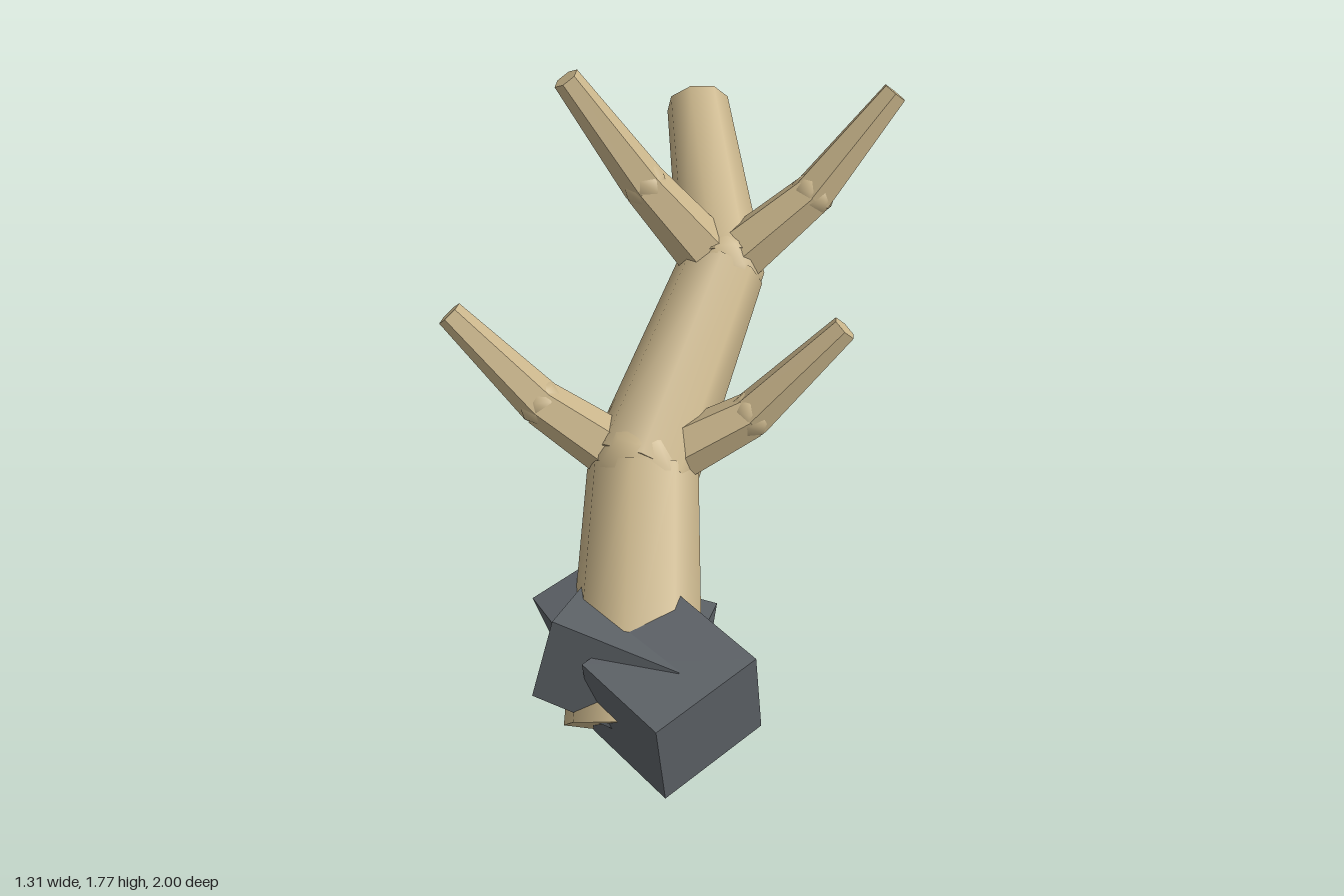
import * as THREE from 'three';

const V = (a) => new THREE.Vector3(...a);

export function createModel() {
  const group = new THREE.Group();
  const wood = new THREE.MeshStandardMaterial({ color: 0xc8b48a });
  wood.name = 'paleWood';
  const stone = new THREE.MeshStandardMaterial({ color: 0x5c6166 });
  stone.name = 'greyStone';

  const add = (name, geometry, material) => {
    const mesh = new THREE.Mesh(geometry, material);
    mesh.name = name;
    group.add(mesh);
    return mesh;
  };

  // Tapered limb between two points
  const limb = (name, from, to, r0, r1, sides, flat) => {
    const a = V(from), b = V(to), dir = b.clone().sub(a);
    let geo = new THREE.CylinderGeometry(r1, r0, dir.length(), sides);
    if (flat) {
      geo = geo.toNonIndexed();
      geo.computeVertexNormals();
    }
    const mesh = add(name, geo, wood);
    mesh.position.copy(a).add(b).multiplyScalar(0.5);
    mesh.quaternion.setFromUnitVectors(new THREE.Vector3(0, 1, 0), dir.normalize());
  };

  const knot = (name, at, r) => {
    add(name, new THREE.SphereGeometry(r, 8, 6), wood).position.copy(V(at));
  };

  // Leaning, crooked trunk
  const path = [[0.05, 0.152, 0.715], [-0.03, 0.68, 0.145], [0.12, 1.1, -0.41], [-0.05, 1.435, -0.94]];
  const radii = [0.21, 0.175, 0.14, 0.105];
  for (let i = 0; i < 3; i++) {
    limb('trunk' + (i + 1), path[i], path[i + 1], radii[i], radii[i + 1], 8, false);
    if (i > 0) knot('trunkJoint' + i, path[i], radii[i]);
  }

  // Bent branches: start, knee, tip
  const branches = {
    lowerRightBranch: [path[1], [-0.35, 0.87, 0.12], [-0.63, 1.145, 0.1]],
    lowerLeftBranch: [path[1], [0.29, 0.865, 0.06], [0.55, 1.15, -0.025]],
    upperRightBranch: [path[2], [-0.12, 1.4, -0.365], [-0.35, 1.75, -0.32]],
    upperLeftBranch: [path[2], [0.39, 1.34, -0.51], [0.62, 1.655, -0.625]],
  };
  for (const [name, [start, knee, tip]] of Object.entries(branches)) {
    limb(name + 'Base', start, knee, 0.1, 0.072, 6, true);
    limb(name + 'Tip', knee, tip, 0.072, 0.043, 6, true);
    knot(name + 'Knee', knee, 0.072);
  }

  // Tilted stone block: a top corner and three edge vectors
  const block = (name, corner, a, b, down) => {
    const [u, v, w] = [a, b, down].map(V);
    // keep a right-handed frame so the faces point outwards
    const [p, q] = u.clone().cross(w.clone().negate()).dot(v) > 0 ? [u, v] : [v, u];
    const size = [p.length(), w.length(), q.length()];
    const mesh = add(name, new THREE.BoxGeometry(...size), stone);
    mesh.position.copy(V(corner)).addScaledVector(u, 0.5).addScaledVector(v, 0.5).addScaledVector(w, 0.5);
    const x = p.clone().normalize();
    const y = w.clone().negate().normalize();
    y.addScaledVector(x, -x.dot(y)).normalize();
    const z = x.clone().cross(y);
    mesh.quaternion.setFromRotationMatrix(new THREE.Matrix4().makeBasis(x, y, z));
  };
  block('frontLeftStone', [0.165, 0.42, 0.99], [0.235, 0.06, -0.28], [-0.255, 0.02, -0.21], [0.035, -0.3, -0.035]);
  block('frontRightStone', [-0.18, 0.535, 0.73], [0.38, -0.08, 0.06], [0.03, -0.06, -0.24], [-0.055, -0.245, 0.05]);
  block('rightStone', [-0.31, 0.375, 0.45], [0.12, 0.05, -0.1], [0.15, 0.01, 0.2], [0.08, -0.29, -0.05]);
  block('backStone', [0.245, 0.375, 0.37], [-0.2, 0.02, -0.02], [-0.02, 0.035, 0.21], [-0.03, -0.27, 0.05]);

  return group;
}
